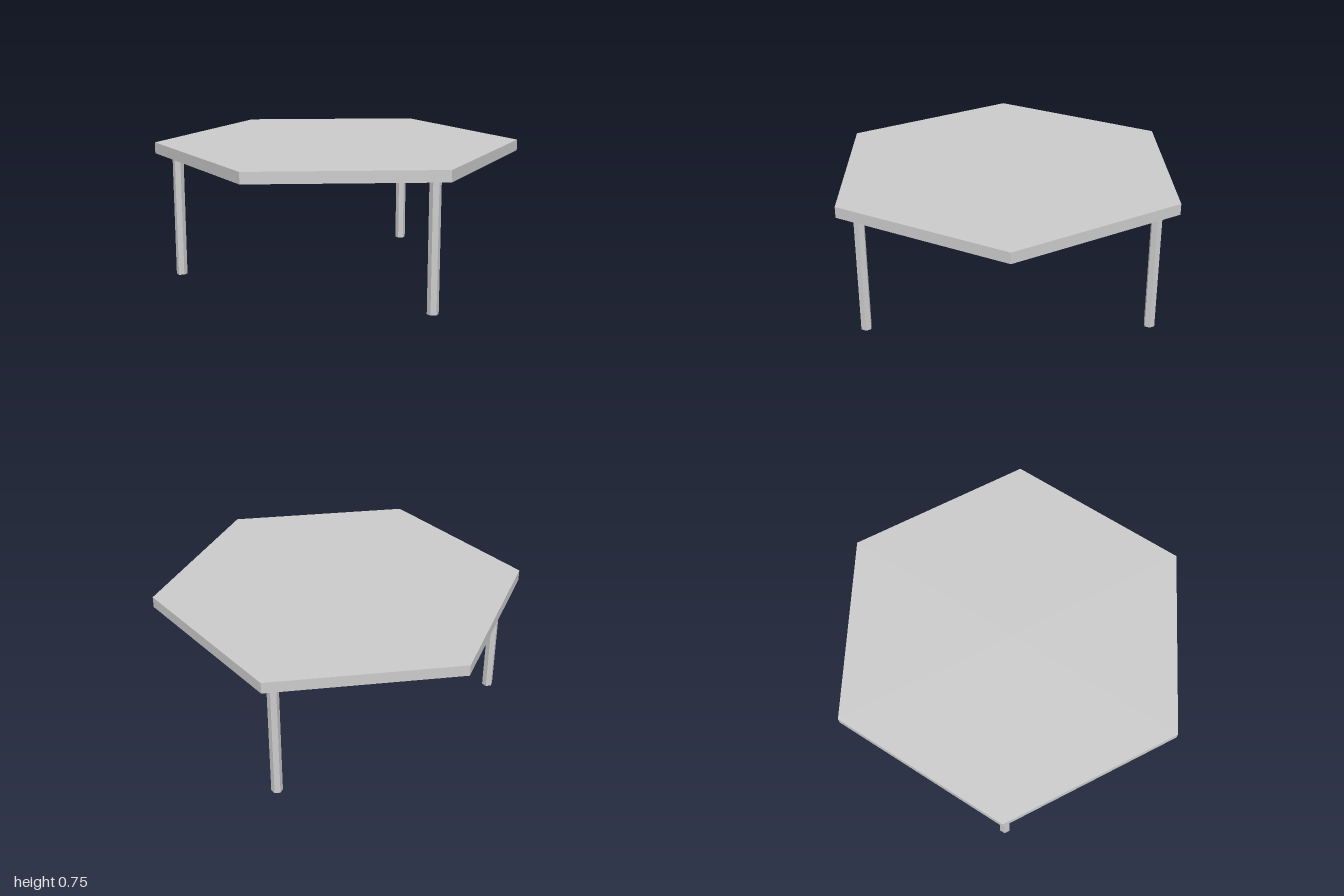
import * as THREE from 'three';

const material = new THREE.MeshStandardMaterial({ color: 0xcccccc, flatShading: true });

// Hexagonal prism standing on y = bottom, with corners on the x axis
function hexPrism(name, radius, bottom, top) {
  const geometry = new THREE.CylinderGeometry(radius, radius, top - bottom, 6, 1, false, Math.PI / 2);
  const mesh = new THREE.Mesh(geometry, material);
  mesh.name = name;
  mesh.position.y = (bottom + top) / 2;
  return mesh;
}

export function createModel() {
  const table = new THREE.Group();
  table.name = 'hexagonalTable';

  const underside = 0.689;
  table.add(hexPrism('tableTop', 1, underside, 0.749));

  // Three legs under every other corner
  const legRadius = 0.877;
  ['frontLeg', 'sideLeg', 'backLeg'].forEach((name, i) => {
    const angle = Math.PI / 3 + (i * 2 * Math.PI) / 3;
    const leg = hexPrism(name, 0.03, 0, underside);
    leg.position.x = legRadius * Math.cos(angle);
    leg.position.z = legRadius * Math.sin(angle);
    table.add(leg);
  });

  return table;
}
